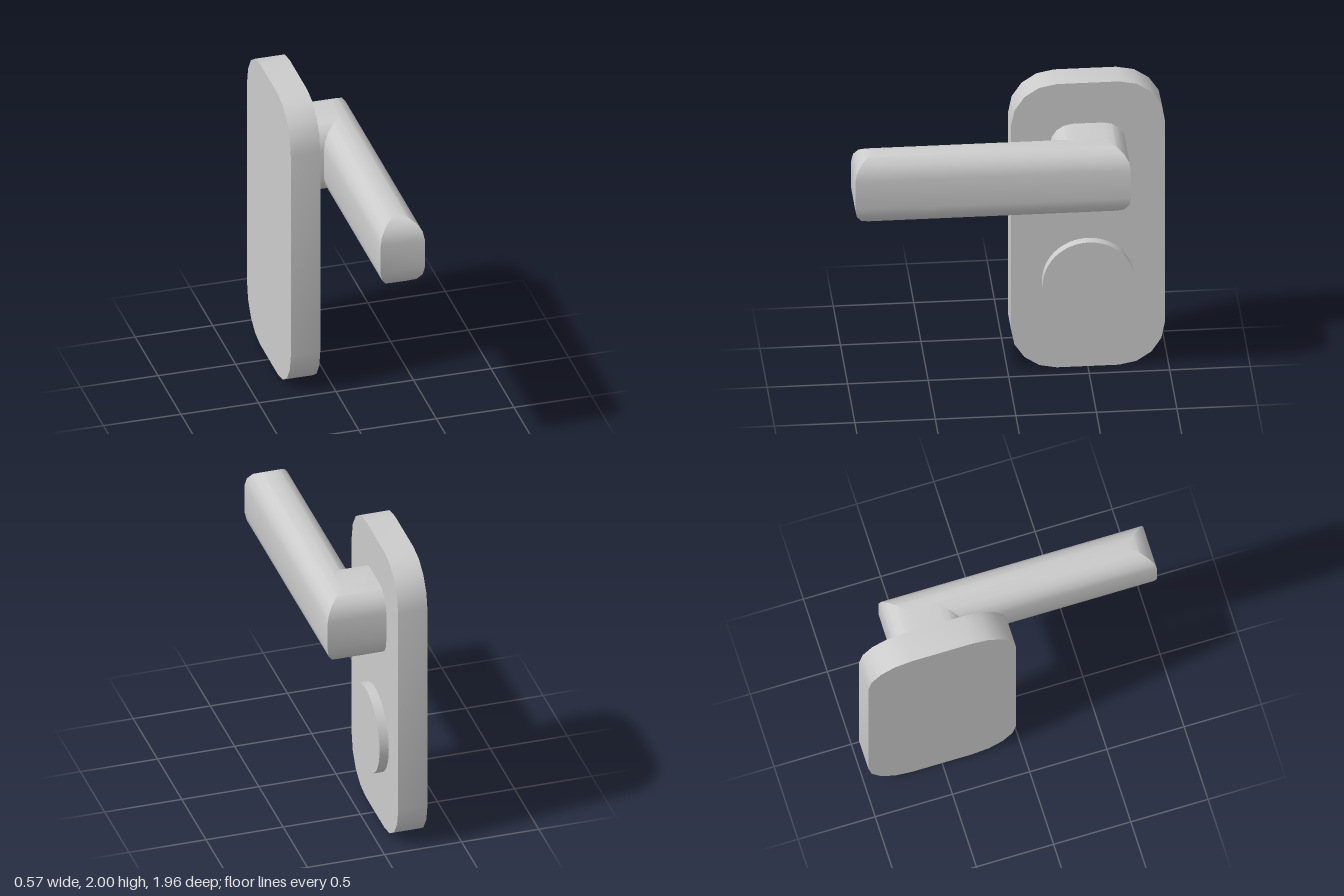
import * as THREE from 'three';
import { toCreasedNormals } from 'three/addons/utils/BufferGeometryUtils.js';

const material = new THREE.MeshStandardMaterial({ color: 0xcccccc });

function part(name, geometry) {
  const mesh = new THREE.Mesh(toCreasedNormals(geometry, 0.6), material);
  mesh.name = name;
  return mesh;
}

// Rectangle with coarse rounded corners
function roundedRect(x0, y0, x1, y1, r) {
  const s = new THREE.Shape();
  s.absarc(x1 - r, y0 + r, r, -Math.PI / 2, 0);
  s.absarc(x1 - r, y1 - r, r, 0, Math.PI / 2);
  s.absarc(x0 + r, y1 - r, r, Math.PI / 2, Math.PI);
  s.absarc(x0 + r, y0 + r, r, Math.PI, Math.PI * 1.5);
  s.closePath();
  return s;
}

export function createModel() {
  const model = new THREE.Group();
  model.name = 'doorHandle';

  // Back plate, outlined in z and y, thickness along x
  const plate = new THREE.ExtrudeGeometry(roundedRect(-0.978, 0, -0.022, 2, 0.285), {
    depth: 0.19, bevelEnabled: false, curveSegments: 2,
  });
  plate.rotateY(-Math.PI / 2).translate(-0.095, 0, 0);
  model.add(part('backPlate', plate));

  // L-shaped lever: plan outline as [x, z], rounded over at top and bottom
  const outline = [
    [-0.27, -0.265], [0, -0.265], [0, 0.978],
    [0.285, 0.978], [0.285, -0.735], [-0.27, -0.735],
  ];
  const round = 0.14, bottom = 1.24, top = 1.715;
  const lever = new THREE.ExtrudeGeometry(
    new THREE.Shape(outline.map(([x, z]) => new THREE.Vector2(x, -z))), {
      depth: top - bottom - 2 * round,
      bevelThickness: round, bevelSize: round, bevelOffset: -round, bevelSegments: 4,
    });
  lever.rotateX(-Math.PI / 2).translate(0, bottom + round, 0);
  model.add(part('lever', lever));

  // Round lock cover
  const cover = new THREE.CylinderGeometry(0.285, 0.285, 0.07, 64);
  cover.rotateZ(Math.PI / 2).translate(-0.07, 0.62, -0.5);
  model.add(part('lockCover', cover));

  return model;
}
